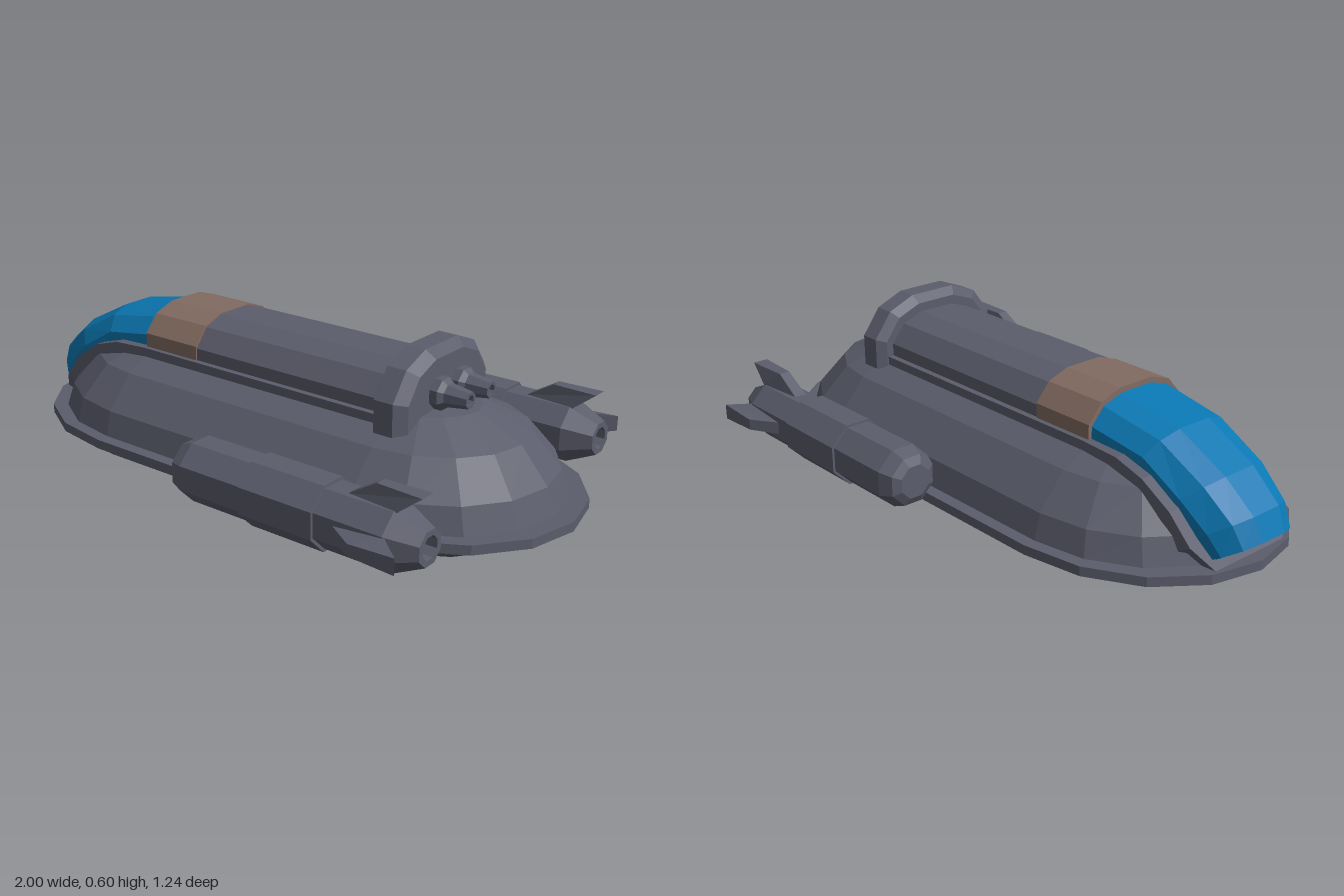
import * as THREE from 'three';

const grey = new THREE.MeshStandardMaterial({ color: 0x5b5d6c });
grey.name = 'hull grey';
const blue = new THREE.MeshStandardMaterial({ color: 0x0b78b3 });
blue.name = 'canopy blue';
const brown = new THREE.MeshStandardMaterial({ color: 0x826b61 });
brown.name = 'band brown';

// Faceted mesh
function part(name, geo, mat, parent) {
  const g = geo.index ? geo.toNonIndexed() : geo;
  g.computeVertexNormals();
  const m = new THREE.Mesh(g, mat);
  m.name = name;
  parent.add(m);
  return m;
}

// Skin closed rings of [x, y, z] points; optionally fan the ends shut
function loft(rings, caps = true) {
  const collapse = (r) => {
    const c = [0, 1, 2].map((k) => r.reduce((s, p) => s + p[k], 0) / r.length);
    return r.map(() => c);
  };
  const all = caps ? [collapse(rings[0]), ...rings, collapse(rings[rings.length - 1])] : rings;
  const n = all[0].length, pos = [], idx = [];
  all.forEach((r) => r.forEach((p) => pos.push(...p)));
  for (let i = 0; i < all.length - 1; i++) {
    for (let j = 0; j < n; j++) {
      const a = i * n + j, b = i * n + (j + 1) % n;
      idx.push(a, a + n, b, b, a + n, b + n);
    }
  }
  const g = new THREE.BufferGeometry();
  g.setAttribute('position', new THREE.Float32BufferAttribute(pos, 3));
  g.setIndex(idx);
  return g;
}

// Rounded-end plan outline: half width w, end radius e, height y, lift at midships
function stadium([w, e, y, lift = 0]) {
  const pts = [];
  for (const [cx, start] of [[0.5, -Math.PI / 2], [-0.47, Math.PI / 2]]) {
    for (let i = 0; i <= 8; i++) {
      const t = start + (i * Math.PI) / 8;
      pts.push([cx + e * Math.cos(t), y, w * Math.sin(t)]);
    }
    pts.push([0, y + lift, cx > 0 ? w : -w]);
  }
  return pts;
}

const ARCH = [[-1, 0], [-1, 0.45], [-0.74, 0.83], [-0.35, 1], [0.35, 1], [0.74, 0.83], [1, 0.45], [1, 0]];
const SLAB = [[-1, 0], [-1, 1], [1, 1], [1, 0]];

// Cross-section between an outer and an inner point of the side profile
const section = (shape, [ox, oy, ix, iy, w]) =>
  shape.map(([z, t]) => [ix + (ox - ix) * t, iy + (oy - iy) * t, z * w]);

// Octagonal turned part along x, profile of [radius, x]
function turned(profile) {
  const pts = profile.map(([r, x]) => new THREE.Vector2(r, x));
  return new THREE.LatheGeometry(pts, 8, Math.PI / 8).rotateZ(-Math.PI / 2);
}

function fin() {
  const ring = (y, x0, x1, t0, t1) => [[x1, y, -t1], [x1, y, t1], [x0, y, t0], [x0, y, -t0]];
  return loft([ring(0.06, 0.53, 0.72, 0.02, 0.035), ring(0.09, 0.58, 0.75, 0.02, 0.035),
    ring(0.145, 0.67, 0.82, 0.018, 0.025)]);
}

export function createModel() {
  const model = new THREE.Group();
  model.name = 'ship';

  // Hull and rim
  part('hull', loft([
    [0, 0, 0.003, 0.011], [0.15, 0.17, 0.015, 0.006], [0.28, 0.32, 0.05], [0.37, 0.4, 0.1],
    [0.39, 0.44, 0.14], [0.39, 0.44, 0.17], [0.37, 0.41, 0.25], [0.28, 0.32, 0.355],
    [0.15, 0.17, 0.42], [0, 0, 0.435],
  ].map(stadium), false), grey, model);
  part('rim', loft([
    [0.38, 0.43, 0.14], [0.43, 0.5, 0.14], [0.43, 0.5, 0.17], [0.38, 0.43, 0.17],
  ].map(stadium), false), grey, model);

  // Raised ledge under the spine and canopy
  part('canopyFrame', loft([
    [0.47, 0.42, 0.47, 0.33, 0.205], [-0.47, 0.422, -0.47, 0.32, 0.205], [-0.6, 0.415, -0.57, 0.3, 0.205],
    [-0.7, 0.385, -0.62, 0.26, 0.205], [-0.8, 0.32, -0.7, 0.2, 0.2], [-0.87, 0.235, -0.77, 0.17, 0.19],
    [-0.93, 0.165, -0.8, 0.15, 0.14],
  ].map((s) => section(SLAB, s))), grey, model);

  // Spine, coloured band and rear collar
  const arch = (list) => loft(list.map(([x, w, y0, y1]) => section(ARCH, [x, y1, x, y0, w])));
  part('spine', arch([[0.48, 0.185, 0.39, 0.546], [-0.26, 0.185, 0.39, 0.546]]), grey, model);
  part('spineBand', arch([[-0.255, 0.189, 0.4, 0.549], [-0.475, 0.189, 0.4, 0.549]]), brown, model);
  part('collar', arch([[0.57, 0.205, 0.385, 0.575], [0.54, 0.24, 0.38, 0.602],
    [0.475, 0.24, 0.38, 0.602], [0.455, 0.21, 0.385, 0.575]]), grey, model);

  // Canopy curving down over the nose
  part('canopy', loft([
    [-0.47, 0.533, -0.47, 0.4, 0.177], [-0.7, 0.492, -0.64, 0.375, 0.17], [-0.87, 0.405, -0.75, 0.3, 0.165],
    [-0.97, 0.32, -0.83, 0.23, 0.15], [-1, 0.25, -0.88, 0.18, 0.135], [-0.9, 0.18, -0.87, 0.17, 0.11],
  ].map((s) => section(ARCH, s))), blue, model);

  for (const side of [1, -1]) {
    // Small rear thruster
    const thruster = part('rearThruster', turned([
      [0.05, 0.55], [0.05, 0.595], [0.036, 0.61], [0.026, 0.68], [0.016, 0.68], [0.014, 0.63], [0, 0.63],
    ]), grey, model);
    thruster.position.set(0, 0.472, side * 0.056);

    // Side engine with top and outer fins
    const engine = new THREE.Group();
    engine.name = side > 0 ? 'frontEngine' : 'backEngine';
    engine.position.set(0, 0.225, side * 0.475);
    part('engineBody', turned([
      [0, -0.035], [0.055, -0.035], [0.082, -0.02], [0.1, 0.025], [0.1, 0.255], [0.108, 0.255], [0.108, 0.515],
      [0.098, 0.515], [0.098, 0.74], [0.055, 0.832], [0.036, 0.832], [0.032, 0.77], [0, 0.77],
    ]), grey, engine);
    part('topFin', fin(), grey, engine);
    part('outerFin', fin(), grey, engine).rotation.x = (side * Math.PI) / 2;
    model.add(engine);
  }
  return model;
}
